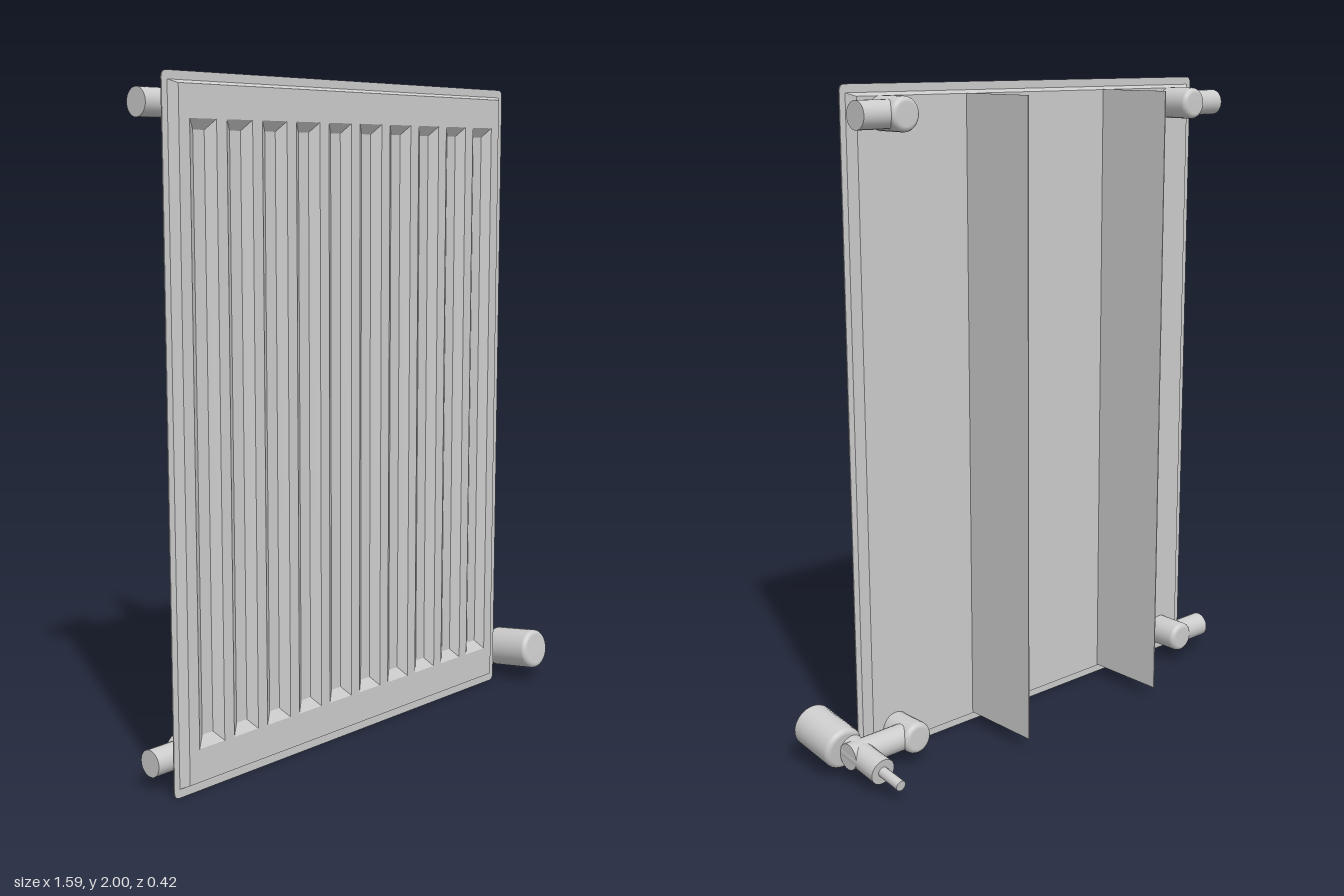
import * as THREE from 'three';

const CX = -0.07; // panel centre in x
const FRONT = 0.101, SEAM = 0.079, BACK = 0.054;
const grey = new THREE.MeshStandardMaterial({ color: 0xcccccc });
const sheet = new THREE.MeshStandardMaterial({ color: 0xcccccc, side: THREE.DoubleSide });

function add(parent, name, geometry, material = grey) {
  const mesh = new THREE.Mesh(geometry, material);
  mesh.name = name;
  parent.add(mesh);
  return mesh;
}

// Flat-faced skin through rectangles [x0, x1, y0, y1, z]
function loftRects(rects, capFirst, capLast) {
  const rings = rects.map(([x0, x1, y0, y1, z]) => [[x0, y0, z], [x1, y0, z], [x1, y1, z], [x0, y1, z]]);
  const pos = [];
  const quad = (a, b, c, d) => pos.push(...a, ...b, ...c, ...a, ...c, ...d);
  for (let r = 0; r + 1 < rings.length; r++) {
    for (let i = 0; i < 4; i++) {
      const j = (i + 1) % 4;
      quad(rings[r][i], rings[r][j], rings[r + 1][j], rings[r + 1][i]);
    }
  }
  if (capFirst) quad(...[...rings[0]].reverse());
  if (capLast) quad(...rings[rings.length - 1]);
  const g = new THREE.BufferGeometry();
  g.setAttribute('position', new THREE.Float32BufferAttribute(pos, 3));
  g.computeVertexNormals();
  return g;
}

function rectPath(path, x0, x1, y0, y1, r = 0) {
  path.moveTo(x0 + r, y0);
  path.lineTo(x1 - r, y0);
  if (r) path.quadraticCurveTo(x1, y0, x1, y0 + r);
  path.lineTo(x1, y1 - r);
  if (r) path.quadraticCurveTo(x1, y1, x1 - r, y1);
  path.lineTo(x0 + r, y1);
  if (r) path.quadraticCurveTo(x0, y1, x0, y1 - r);
  path.lineTo(x0, y0 + r);
  if (r) path.quadraticCurveTo(x0, y0, x0 + r, y0);
  return path;
}

// Solid cylinder along y from 0 to length, its far end rounded (and the near one if asked)
function roundedCylinder(radius, length, round, bothEnds = false) {
  const pts = [new THREE.Vector2(0, 0)];
  const arc = (y, from) => {
    for (let i = 0; i <= 5; i++) {
      const a = from + (i / 5) * Math.PI / 2;
      pts.push(new THREE.Vector2(radius - round + round * Math.cos(a), y + round * Math.sin(a)));
    }
  };
  if (bothEnds) arc(round, -Math.PI / 2);
  else pts.push(new THREE.Vector2(radius, 0), new THREE.Vector2(radius, 0.001));
  arc(length - round, 0);
  pts.push(new THREE.Vector2(0, length));
  return new THREE.LatheGeometry(pts, 32);
}

function buildPanel() {
  const panel = new THREE.Group();
  panel.name = 'radiatorPanel';

  // bevelled shell, open at the front
  const inner = [CX - 0.672, CX + 0.672, 0.035, 1.967];
  const outer = [CX - 0.695, CX + 0.695, 0.025, 1.977];
  add(panel, 'panelShell', loftRects([[...inner, BACK], [...outer, SEAM], [...inner, FRONT]], true, false));

  // front sheet with an opening for each pressed channel
  const face = rectPath(new THREE.Shape(), ...inner);
  const channels = new THREE.Group();
  channels.name = 'channels';
  panel.add(channels);
  for (let i = 0; i < 10; i++) {
    const x = CX + (i - 4.5) * 0.1307;
    const rim = [x - 0.047, x + 0.047, 0.133, 1.877];
    const floor = [x - 0.02, x + 0.02, 0.163, 1.848];
    face.holes.push(rectPath(new THREE.Path(), ...rim));
    add(channels, 'channel', loftRects([[...rim, FRONT], [...floor, FRONT - 0.02]], false, true));
  }
  add(panel, 'frontSheet', new THREE.ShapeGeometry(face)).position.z = FRONT;

  // thin welded seam around the edge
  const seam = rectPath(new THREE.Shape(), CX - 0.712, CX + 0.712, 0, 2, 0.02);
  seam.holes.push(rectPath(new THREE.Path(), CX - 0.685, CX + 0.685, 0.035, 1.965));
  add(panel, 'seamFlange', new THREE.ExtrudeGeometry(seam, { depth: 0.004, bevelEnabled: false }))
    .position.z = SEAM - 0.002;
  return panel;
}

// Elbow stub behind a corner with a pipe running outwards
function buildConnector(side, y, reach) {
  const g = new THREE.Group();
  g.name = 'connector';
  g.position.set(CX + side * 0.587, y, 0);
  const elbow = add(g, 'elbow', roundedCylinder(0.049, 0.114, 0.016));
  elbow.rotation.x = -Math.PI / 2;
  elbow.position.z = BACK + 0.002;
  const pipe = add(g, 'pipe', new THREE.CylinderGeometry(0.04, 0.04, reach, 32));
  pipe.rotation.z = Math.PI / 2;
  pipe.position.set(side * reach / 2, 0, -0.01);
  return g;
}

// Valve built along +y, then laid forward with a slight upward tilt
function buildValve() {
  const g = new THREE.Group();
  g.name = 'valve';
  const body = add(g, 'valveBody', new THREE.CylinderGeometry(0.04, 0.04, 0.17, 32));
  body.position.y = -0.042;
  const pin = add(g, 'supplyPipe', new THREE.CylinderGeometry(0.016, 0.016, 0.1, 24));
  pin.position.y = -0.162;
  const knob = add(g, 'thermostatKnob', roundedCylinder(0.065, 0.177, 0.016, true));
  knob.position.set(0.023, 0.027, 0);
  g.rotation.x = Math.PI / 2 - 0.145;
  g.position.set(0.704, 0.086, 0);
  return g;
}

export function createModel() {
  const model = new THREE.Group();
  model.name = 'radiator';
  model.add(buildPanel());

  // thin upright fins on the back
  for (const x of [-0.35, 0.21]) {
    const fin = add(model, 'backFin', new THREE.BoxGeometry(0.003, 1.93, 0.264), sheet);
    fin.position.set(x, 1.003, -0.077);
  }

  for (const side of [-1, 1]) {
    model.add(buildConnector(side, 1.92, 0.138));
    model.add(buildConnector(side, 0.085, side > 0 ? 0.226 : 0.138));
  }
  model.add(buildValve());
  return model;
}
